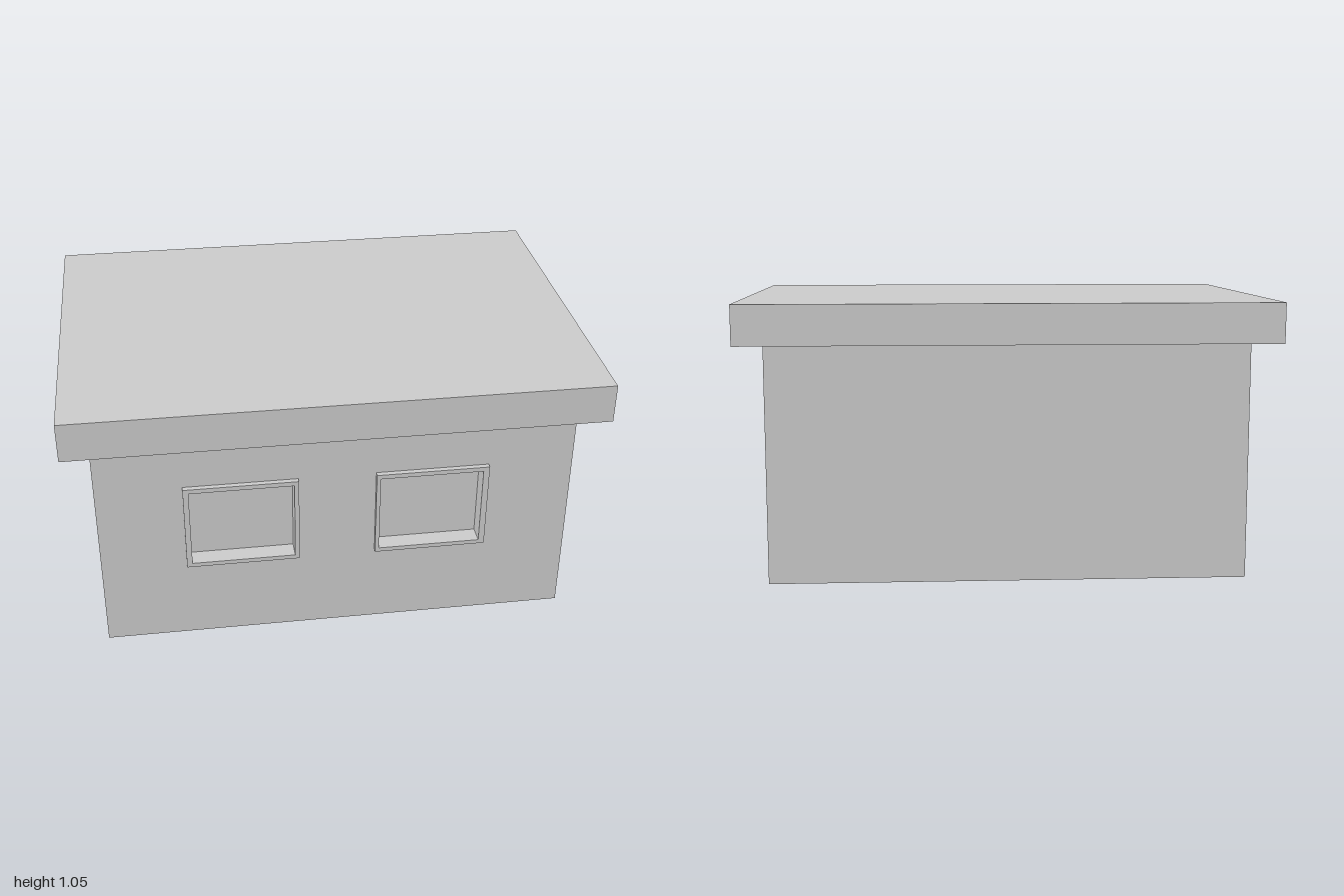
import * as THREE from 'three';

const WIDTH = 1.8, DEPTH = 1.2, WALL_H = 0.9;
const PROUD = 0.02, RECESS = 0.05; // frame projection and opening depth from the wall face

function rect(Type, x0, y0, x1, y1) {
  return new Type([[x0, y0], [x1, y0], [x1, y1], [x0, y1]].map(([x, y]) => new THREE.Vector2(x, y)));
}

export function createModel() {
  const model = new THREE.Group();
  const material = new THREE.MeshStandardMaterial({ color: 0xcccccc });

  function add(parent, name, geometry, x = 0, y = 0, z = 0) {
    const mesh = new THREE.Mesh(geometry, material);
    mesh.name = name;
    mesh.position.set(x, y, z);
    parent.add(mesh);
    return mesh;
  }

  // A wall faces local +z; each opening has a raised frame and a recessed panel
  function addWall(name, width, distance, angle, openings) {
    const wall = new THREE.Group();
    wall.name = name;
    wall.rotation.y = angle;
    const face = rect(THREE.Shape, -width / 2, 0, width / 2, WALL_H);
    for (const { kind, outer, inner } of openings) {
      face.holes.push(rect(THREE.Path, ...inner));
      const border = rect(THREE.Shape, ...outer);
      border.holes.push(rect(THREE.Path, ...inner));
      const frame = new THREE.ExtrudeGeometry(border, { depth: PROUD + RECESS, bevelEnabled: false });
      add(wall, kind + 'Frame', frame, 0, 0, distance - RECESS);
      add(wall, kind + 'Panel', new THREE.ShapeGeometry(rect(THREE.Shape, ...inner)), 0, 0, distance - RECESS);
    }
    add(wall, name + 'Surface', new THREE.ShapeGeometry(face), 0, 0, distance);
    model.add(wall);
  }

  const windows = [
    { kind: 'leftWindow', outer: [0.145, 0.33, 0.575, 0.685], inner: [0.16, 0.347, 0.552, 0.667] },
    { kind: 'rightWindow', outer: [-0.578, 0.33, -0.148, 0.685], inner: [-0.557, 0.347, -0.165, 0.667] },
  ];
  const door = [{ kind: 'door', outer: [-0.175, 0.168, 0.175, 0.734], inner: [-0.152, 0.194, 0.152, 0.708] }];

  addWall('frontWall', WIDTH, DEPTH / 2, 0, windows);
  addWall('backWall', WIDTH, DEPTH / 2, Math.PI, []);
  addWall('leftWall', DEPTH, WIDTH / 2, Math.PI / 2, door);
  addWall('rightWall', DEPTH, WIDTH / 2, -Math.PI / 2, door);

  // Underside and overhanging flat roof
  add(model, 'floor', new THREE.PlaneGeometry(WIDTH, DEPTH)).rotation.x = Math.PI / 2;
  add(model, 'roof', new THREE.BoxGeometry(2, 0.15, 1.4), 0, WALL_H + 0.075, 0);

  return model;
}
